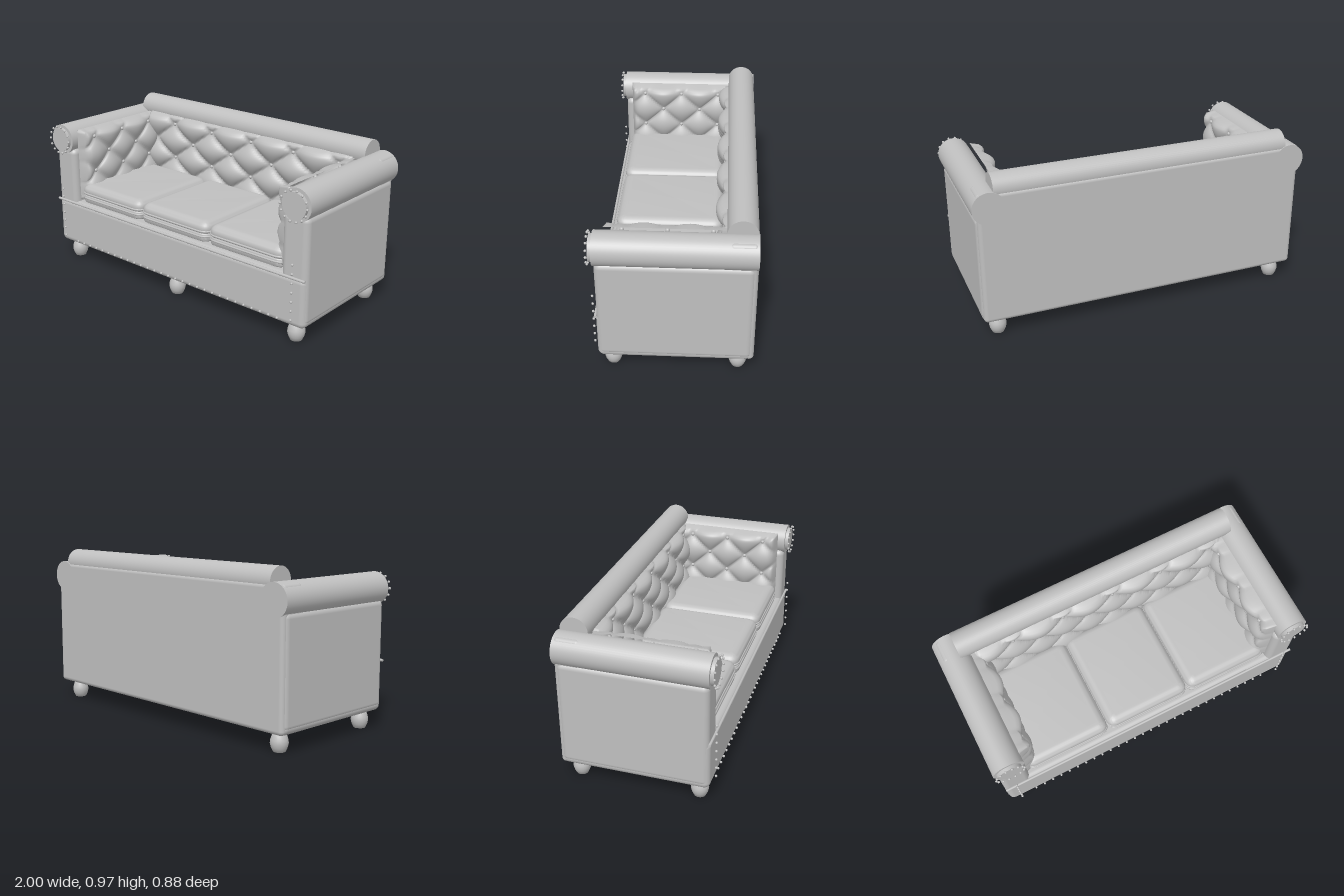
import * as THREE from 'three';
import { toCreasedNormals } from 'three/addons/utils/BufferGeometryUtils.js';
import { RoundedBoxGeometry } from 'three/addons/geometries/RoundedBoxGeometry.js';

const leather = new THREE.MeshStandardMaterial({ color: 0xbfbfbf });
leather.name = 'grey leather';

export function createModel() {
  const model = new THREE.Group();
  model.name = 'sofa';

  const add = (name, geometry, x = 0, y = 0, z = 0, parent = model) => {
    const mesh = new THREE.Mesh(geometry, leather);
    mesh.name = name;
    mesh.position.set(x, y, z);
    parent.add(mesh);
    return mesh;
  };
  // rounded box given by its limits
  const block = (name, x0, x1, y0, y1, z0, z1, r) =>
    add(name, new RoundedBoxGeometry(x1 - x0, y1 - y0, z1 - z0, 5, r),
      (x0 + x1) / 2, (y0 + y1) / 2, (z0 + z1) / 2);

  // frame
  block('base', -0.975, 0.975, 0.105, 0.4, -0.43, 0.41, 0.035);
  block('backPanel', -0.97, 0.97, 0.107, 0.885, -0.44, -0.285, 0.025);
  const backRoll = add('backRoll', new THREE.CylinderGeometry(0.08, 0.08, 1.75, 48), 0, 0.89, -0.355);
  backRoll.rotation.z = Math.PI / 2;
  const trim = add('frontPiping', new THREE.CylinderGeometry(0.008, 0.008, 1.95, 12), 0, 0.393, 0.41);
  trim.rotation.z = Math.PI / 2;

  // diamond tufting: folds run diagonally between the buttons
  const tuft = (u, v) =>
    Math.sqrt(Math.abs(Math.sin(Math.PI * (u + v)) * Math.sin(Math.PI * (u - v))));
  const ROW = 0.225;

  // padded panel in the XY plane, bulging towards +z, with buttons in the dents
  function tuftedPad(name, w, y0, y1, pitch, firstX, base, puff) {
    const pad = new THREE.Group();
    pad.name = name;
    const h = y1 - y0, mid = (y0 + y1) / 2;
    const edge = (x, y) => {
      const d = Math.max(0, Math.min(w / 2 - Math.abs(x), h / 2 - Math.abs(y - mid)));
      const k = 1 - Math.min(d / 0.045, 1);
      return Math.sqrt(1 - k * k);
    };
    const depth = (x, y) =>
      edge(x, y) * (base + puff * tuft((x - firstX) / pitch, (y - 0.82) / ROW));
    const g = new THREE.PlaneGeometry(w, h, Math.round(w / 0.0125), 40);
    g.translate(0, mid, 0);
    const p = g.attributes.position;
    for (let i = 0; i < p.count; i++) p.setZ(i, depth(p.getX(i), p.getY(i)));
    g.computeVertexNormals();
    add(name + 'Surface', g, 0, 0, 0, pad);

    const button = new THREE.SphereGeometry(0.012, 12, 8);
    for (let row = 0; row < 3; row++) {
      const y = 0.82 - row * ROW / 2;
      for (let i = -4; i <= 4; i++) {
        const x = firstX + (i + (row % 2) / 2) * pitch;
        if (Math.abs(x) < w / 2 - 0.08)
          add('tuftButton', button, x, y, depth(x, y) + 0.004, pad);
      }
    }
    model.add(pad);
    return pad;
  }
  tuftedPad('backCushion', 1.6, 0.41, 0.878, 0.32, -0.565, 0.022, 0.055).position.z = -0.29;

  // seat cushions with piped seams
  const seatOutline = (w, d, r) => {
    const s = new THREE.Shape(), x = w / 2, y = d / 2;
    s.moveTo(-x + r, -y).lineTo(x - r, -y).quadraticCurveTo(x, -y, x, -y + r);
    s.lineTo(x, y - r).quadraticCurveTo(x, y, x - r, y);
    s.lineTo(-x + r, y).quadraticCurveTo(-x, y, -x, y - r);
    s.lineTo(-x, -y + r).quadraticCurveTo(-x, -y, -x + r, -y);
    return s;
  };
  const layer = (bevel, inset, depth) => {
    const g = new THREE.ExtrudeGeometry(seatOutline(0.53, 0.63, 0.06), {
      depth, bevelThickness: bevel, bevelSize: inset, bevelOffset: -inset,
      bevelSegments: 7, curveSegments: 8,
    });
    g.rotateX(-Math.PI / 2);
    return toCreasedNormals(g, 0.7);
  };
  const seatTop = layer(0.042, 0.06, 0.012);
  const seatBottom = layer(0.014, 0.014, 0.026);
  const ring = new THREE.CatmullRomCurve3(
    seatOutline(0.53, 0.63, 0.06).getSpacedPoints(60).slice(0, -1)
      .map((p) => new THREE.Vector3(p.x, 0, p.y)), true);
  const piping = new THREE.TubeGeometry(ring, 120, 0.006, 8, true);
  for (const x of [-0.535, 0, 0.535]) {
    add('seatCushionTop', seatTop, x, 0.466, 0.057);
    add('seatCushionBottom', seatBottom, x, 0.413, 0.057);
    add('seatPipingUpper', piping, x, 0.462, 0.057);
    add('seatPipingLower', piping, x, 0.432, 0.057);
  }

  // arms
  const nail = new THREE.SphereGeometry(0.0075, 8, 6);
  const roll = new THREE.CylinderGeometry(0.093, 0.093, 0.85, 48).rotateX(Math.PI / 2);
  const disc = new THREE.CylinderGeometry(0.074, 0.074, 0.03, 40).rotateX(Math.PI / 2);
  for (const side of [-1, 1]) {
    const label = side > 0 ? 'left' : 'right';
    block(label + 'Arm', Math.min(side * 0.812, side * 0.978), Math.max(side * 0.812, side * 0.978),
      0.122, 0.745, -0.43, 0.405, 0.035);
    add(label + 'ArmRoll', roll, side * 0.905, 0.802, -0.015);
    add(label + 'ArmDisc', disc, side * 0.905, 0.802, 0.415);
    const pad = tuftedPad(label + 'ArmCushion', 0.66, 0.41, 0.868, 0.24, 0, 0.05, 0.045);
    pad.position.set(side * 0.815, 0, 0.035);
    pad.rotation.y = -side * Math.PI / 2;

    for (let i = 0; i < 14; i++) {
      const a = (i / 14) * Math.PI * 2;
      add('rollNail', nail, side * 0.905 + 0.085 * Math.cos(a), 0.802 + 0.085 * Math.sin(a), 0.436);
    }
    for (let i = 0; i < 7; i++) add('armNail', nail, side * 0.905, 0.158 + i * 0.0533, 0.43);
  }

  // nail row along the bottom of the front
  for (let i = -14; i <= 14; i++) add('baseNail', nail, i * 0.0575, 0.133, 0.415);

  // bun feet: four corners and one front middle
  const foot = new THREE.LatheGeometry(
    [[0, 0], [0.034, 0], [0.045, 0.024], [0.05, 0.045], [0.048, 0.064], [0.041, 0.086], [0.031, 0.108], [0, 0.108]]
      .map(([x, y]) => new THREE.Vector2(x, y)), 24);
  for (const [x, z] of [[-0.88, 0.335], [0, 0.335], [0.88, 0.335], [-0.88, -0.355], [0.88, -0.355]])
    add('foot', foot, x, 0, z);

  return model;
}
